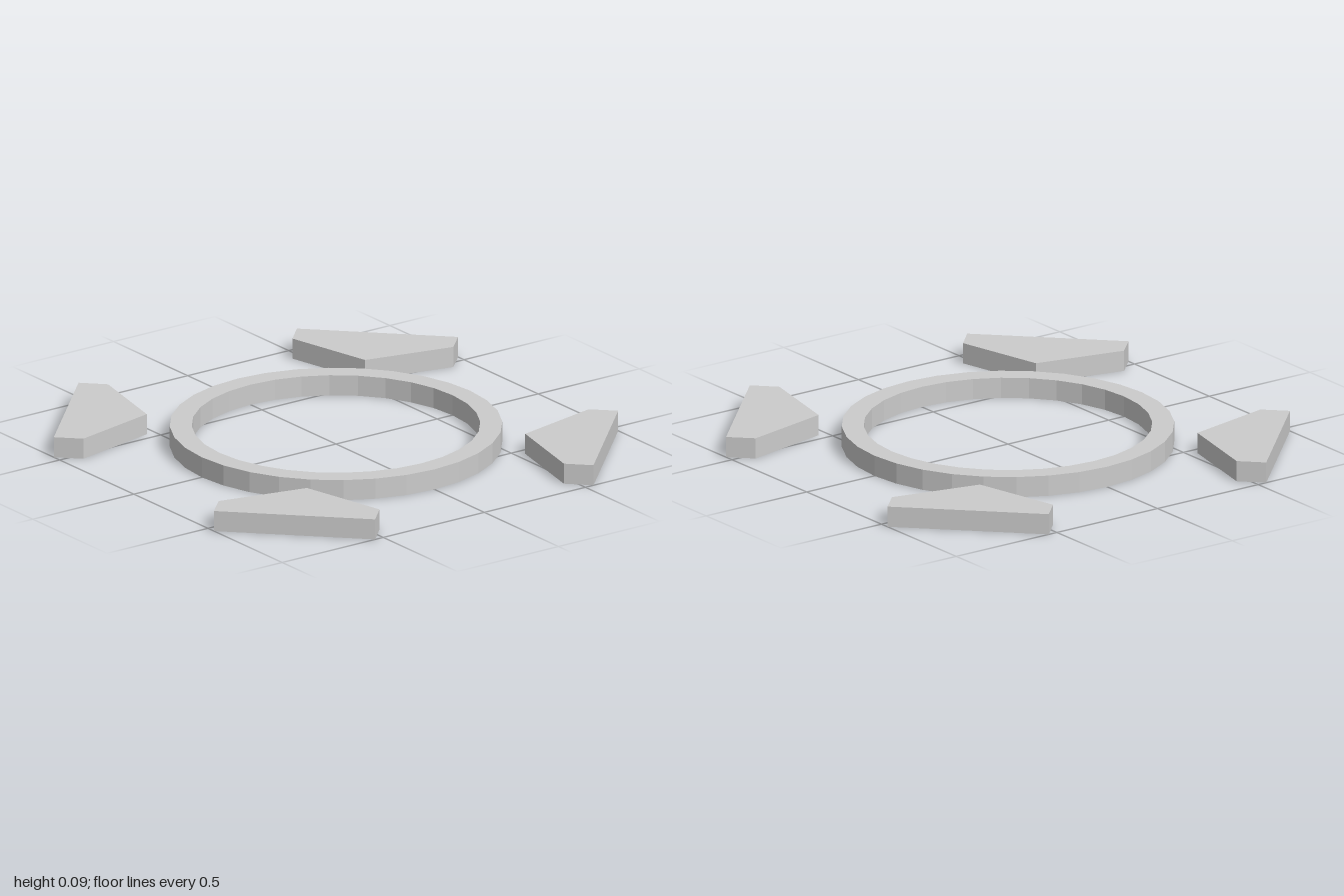
import * as THREE from 'three';

const HEIGHT = 0.085;

// Extrudes a flat plan outline upward from the ground
function slab(shape) {
  const geometry = new THREE.ExtrudeGeometry(shape, { depth: HEIGHT, bevelEnabled: false });
  return geometry.rotateX(-Math.PI / 2);
}

// Regular polygon points, used for the faceted ring
function circle(radius, sides) {
  return Array.from({ length: sides }, (_, i) => {
    const a = (i / sides) * Math.PI * 2;
    return new THREE.Vector2(Math.cos(a) * radius, Math.sin(a) * radius);
  });
}

export function createModel() {
  const group = new THREE.Group();
  const material = new THREE.MeshStandardMaterial({ color: 0xcccccc, flatShading: true });

  // Central ring
  const ringShape = new THREE.Shape(circle(0.664, 32));
  ringShape.holes.push(new THREE.Path(circle(0.576, 32)));
  const ring = new THREE.Mesh(slab(ringShape), material);
  ring.name = 'ring';
  group.add(ring);

  // Four corner wedges pointing at the centre
  const outline = [[0.54, 0.54], [0.915, 0.456], [1, 0.54], [0.54, 1], [0.456, 0.915]];
  const wedge = slab(new THREE.Shape(outline.map(([x, y]) => new THREE.Vector2(x, y))));
  for (let i = 0; i < 4; i++) {
    const corner = new THREE.Mesh(wedge, material);
    corner.name = `cornerWedge${i + 1}`;
    corner.rotation.y = (i * Math.PI) / 2;
    group.add(corner);
  }

  return group;
}
